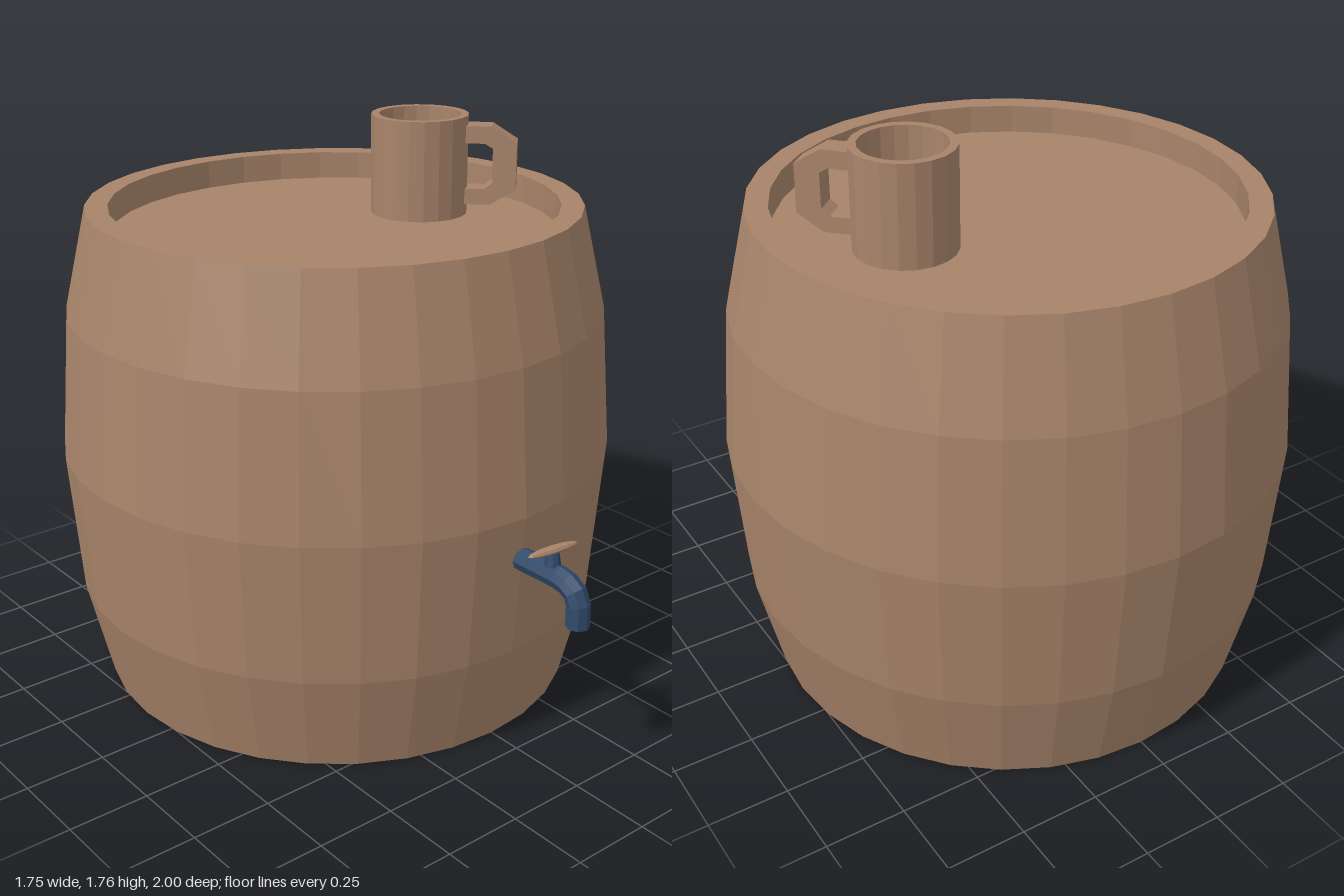
import * as THREE from 'three';

const wood = new THREE.MeshStandardMaterial({ color: 0xa8846a, flatShading: true, side: THREE.DoubleSide });
wood.name = 'wood';
const metal = new THREE.MeshStandardMaterial({ color: 0x304a6a, flatShading: true, side: THREE.DoubleSide });
metal.name = 'blueMetal';

const v2 = (pts) => pts.map(([x, y]) => new THREE.Vector2(x, y));

function add(parent, name, geometry, material, x = 0, y = 0, z = 0) {
  const mesh = new THREE.Mesh(geometry, material);
  mesh.name = name;
  mesh.position.set(x, y, z);
  parent.add(mesh);
  return mesh;
}

function createMug() {
  const mug = new THREE.Group();
  mug.name = 'mug';
  const profile = v2([[0, 1.445], [0.155, 1.445], [0.155, 1.76], [0.13, 1.76], [0.13, 1.47], [0, 1.47]]);
  add(mug, 'mugBody', new THREE.LatheGeometry(profile, 20), wood);

  // C-shaped handle with cut corners
  const shape = new THREE.Shape(v2([
    [0.14, 1.73], [0.23, 1.73], [0.31, 1.68], [0.31, 1.53], [0.23, 1.48], [0.14, 1.48],
    [0.14, 1.53], [0.21, 1.53], [0.235, 1.55], [0.235, 1.66], [0.21, 1.675], [0.14, 1.675],
  ]));
  const handle = new THREE.ExtrudeGeometry(shape, { depth: 0.075, bevelEnabled: false });
  handle.translate(0, 0, -0.0375);
  add(mug, 'mugHandle', handle, wood).rotation.y = -Math.PI * 0.26;
  mug.position.set(0.345, 0, -0.125);
  return mug;
}

function createTap() {
  const tap = new THREE.Group();
  tap.name = 'tap';
  const p = (y, z) => new THREE.Vector3(0, y, z);
  // Pipe running out of the barrel and bending down
  const path = new THREE.CurvePath();
  path.add(new THREE.LineCurve3(p(0.638, 0.72), p(0.638, 0.88)));
  path.add(new THREE.QuadraticBezierCurve3(p(0.638, 0.88), p(0.635, 0.967), p(0.57, 0.967)));
  path.add(new THREE.LineCurve3(p(0.57, 0.967), p(0.515, 0.967)));
  add(tap, 'tapPipe', new THREE.TubeGeometry(path, 10, 0.035, 8), metal);
  const cap = add(tap, 'spoutEnd', new THREE.CircleGeometry(0.035, 8), metal, 0, 0.516, 0.967);
  cap.rotation.x = Math.PI / 2;

  // Valve stem and turning handle
  add(tap, 'valveStem', new THREE.CylinderGeometry(0.018, 0.026, 0.05, 8), metal, 0, 0.682, 0.86);
  const lever = new THREE.SphereGeometry(1, 8, 6);
  lever.rotateZ(Math.PI / 2);
  lever.scale(0.091, 0.012, 0.017);
  add(tap, 'valveHandle', lever, wood, 0, 0.713, 0.86).rotation.y = -0.1;
  return tap;
}

export function createModel() {
  const model = new THREE.Group();
  model.name = 'barrelWithTap';

  // Bulging shell, open below, with a raised rim around the sunken lid
  const shell = v2([
    [0.765, 0], [0.84, 0.32], [0.875, 0.77], [0.84, 1.215], [0.765, 1.535],
    [0.695, 1.535], [0.695, 1.445],
  ]);
  add(model, 'barrelShell', new THREE.LatheGeometry(shell, 32), wood, 0, 0, -0.125);
  const lid = add(model, 'barrelLid', new THREE.CircleGeometry(0.695, 32), wood, 0, 1.445, -0.125);
  lid.rotation.x = -Math.PI / 2;

  model.add(createMug(), createTap());
  return model;
}
